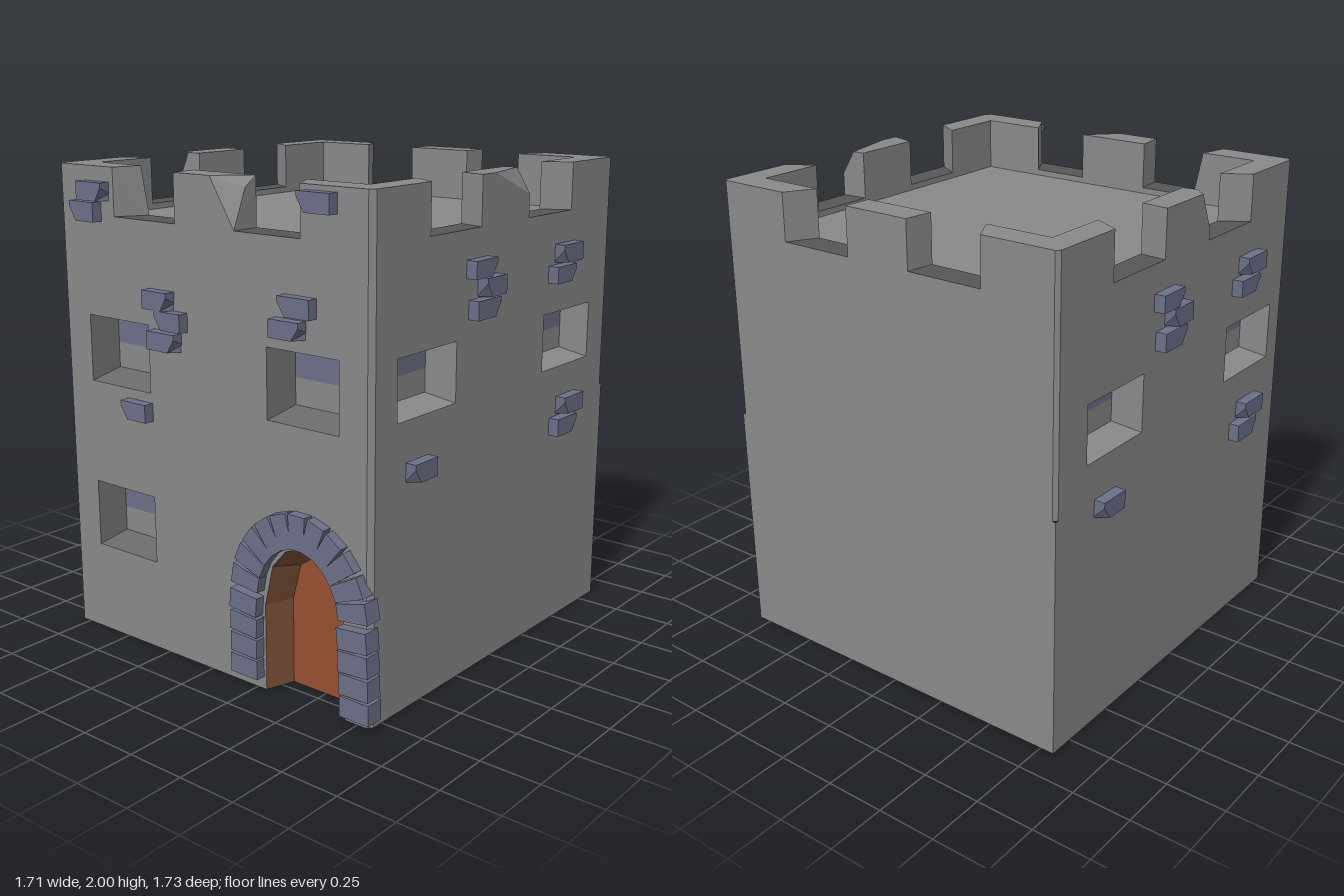
import * as THREE from 'three';
import { ConvexGeometry } from 'three/addons/geometries/ConvexGeometry.js';

const V = (x, y, z) => new THREE.Vector3(x, y, z);
const mat = (name, color) => {
  const m = new THREE.MeshStandardMaterial({ color, side: THREE.DoubleSide });
  m.name = name;
  return m;
};

// Tower limits
const X = 0.81, ZF = 0.82, ZB = -0.86, LEDGE = 1.805, ROOF = 1.78, TOP = 2;
const IX = 0.697, IZF = 0.695, IZB = -0.74;

export function createModel() {
  const stone = mat('wall grey', 0x898989);
  const ledge = mat('ledge dark grey', 0x575757);
  const reveal = mat('window reveal grey', 0x686868);
  const blue = mat('slate blue', 0x6c7088);
  const wood = mat('door orange brown', 0x964f2f);
  const jambBrown = mat('jamb brown', 0x7a5036);

  const model = new THREE.Group();
  model.name = 'tower';
  const add = (parent, name, geo, material) => {
    const mesh = new THREE.Mesh(geo, material);
    mesh.name = name;
    parent.add(mesh);
    return mesh;
  };
  const hull = (parent, name, pts, material) => add(parent, name, new ConvexGeometry(pts), material);
  const shapeOf = pts => new THREE.Shape(pts.map(p => new THREE.Vector2(p[0], p[1])));

  // Strip of quads joining two outlines of equal length
  const strip = (a, b, closed) => {
    const pos = [];
    const n = a.length;
    for (let i = 0; i < (closed ? n : n - 1); i++) {
      const j = (i + 1) % n;
      pos.push(...a[i], ...b[i], ...b[j], ...a[i], ...b[j], ...a[j]);
    }
    const g = new THREE.BufferGeometry();
    g.setAttribute('position', new THREE.Float32BufferAttribute(pos, 3));
    g.computeVertexNormals();
    return g;
  };

  const rect = ([u0, u1, y0, y1]) => [[u0, y0], [u1, y0], [u1, y1], [u0, y1]];
  const at = (pts, w) => pts.map(p => [p[0], p[1], w]);
  const D = 0.11; // depth of recesses

  // Flat wall with openings, in a local frame facing +z
  const wall = (group, outline, holes) => {
    const s = shapeOf(outline);
    holes.forEach(h => s.holes.push(new THREE.Path(shapeOf(h).getPoints())));
    add(group, 'wall', new THREE.ShapeGeometry(s), stone);
  };

  // Splayed window recess, its pane half slate and half stone
  const windowRecess = (group, o, inset, split, revealMat) => {
    const i = [o[0] + 0.047, o[1] - 0.047, o[2] + inset, o[3] - 0.033];
    add(group, 'windowReveal', strip(at(rect(o), 0), at(rect(i), -D), true), revealMat);
    const pane = (name, y0, y1, m) => {
      const g = new THREE.PlaneGeometry(i[1] - i[0], y1 - y0);
      g.translate((i[0] + i[1]) / 2, (y0 + y1) / 2, -D);
      add(group, name, g, m);
    };
    pane('lowerPane', i[2], split, stone);
    pane('upperPane', split, i[3], blue);
  };

  // Raised brick, open at the back, its face chipped at one lower end (c: -1 or 1)
  const brick = (group, [u0, u1, y0, y1, c]) => {
    const chip = 0.035;
    const face = c > 0
      ? [[u0, y0], [u1 - chip, y0], [u1, y1 - 0.02], [u1, y1], [u0, y1]]
      : [[u1, y0], [u0 + chip, y0], [u0, y1 - 0.02], [u0, y1], [u1, y1]];
    const base = face.map(p => [...p]);
    base[1][0] = base[2][0];
    base[2][1] = y0 + 0.03;
    const order = pts => (c > 0 ? pts : [...pts].reverse());
    add(group, 'raisedBrickSides', strip(order(at(face, 0.046)), order(at(base, -0.005)), true), blue);
    add(group, 'raisedBrickFace', new THREE.ShapeGeometry(shapeOf(face)), blue).position.z = 0.046;
  };

  // Front wall
  const front = new THREE.Group();
  front.name = 'frontWall';
  front.position.z = ZF;
  model.add(front);
  const arch = [[0.295, 0], [0.295, 0.36], [0.335, 0.53], [0.4, 0.605], [0.49, 0.642], [0.575, 0.61], [0.645, 0.53], [0.69, 0.36], [0.69, 0]];
  const door = [[0.335, 0], [0.335, 0.36], [0.375, 0.51], [0.43, 0.548], [0.485, 0.585], [0.545, 0.558], [0.6, 0.53], [0.645, 0.36], [0.645, 0]];
  const frontWindows = [[-0.655, -0.31, 1.11, 1.39], [0.317, 0.662, 1.11, 1.39], [-0.655, -0.31, 0.385, 0.67]];
  wall(front, [[-0.79, 0], ...arch, [0.79, 0], [0.79, ROOF], [-0.79, ROOF]], frontWindows.map(rect));
  frontWindows.forEach(w => windowRecess(front, w, 0.045, w[2] + 0.152, reveal));
  [[-0.655, -0.51, 1.865, 1.94, 1], [-0.7, -0.56, 1.78, 1.86, -1], [0.505, 0.655, 1.905, 1.98, -1],
    [-0.295, -0.16, 1.465, 1.54, 1], [-0.23, -0.09, 1.39, 1.465, -1], [-0.275, -0.125, 1.305, 1.38, 1],
    [0.41, 0.56, 1.525, 1.6, -1], [0.365, 0.51, 1.44, 1.51, 1], [-0.44, -0.3, 0.995, 1.07, -1]]
    .forEach(b => brick(front, b));

  // Door, its reveal and the ring of arch stones
  add(front, 'doorReveal', strip(at(arch, 0), at(door, -D - 0.01), false), jambBrown);
  add(front, 'door', new THREE.ShapeGeometry(shapeOf(door)), wood).position.z = -D - 0.01;
  const archStone = (x, y, angle, inner, outer) => {
    const pts = [];
    for (const s of [1, -1]) for (const z of [-0.035, 0.042]) {
      pts.push(V(-0.069, s * inner / 2, z), V(0.069, s * outer / 2, z));
    }
    const stoneMesh = hull(front, 'archStone', pts, blue);
    stoneMesh.position.set(x, y, 0);
    stoneMesh.rotation.z = angle;
  };
  for (let i = 0; i < 4; i++) {
    archStone(0.214, 0.092 + i * 0.09, -0.03 * i, 0.08, 0.08);
    archStone(0.764 - i * 0.004, 0.078 + i * 0.092, 0.03 * i, 0.084, 0.084);
  }
  for (let i = 0; i < 11; i++) {
    const t = THREE.MathUtils.degToRad(168 - i * 15.6);
    archStone(0.49 + 0.268 * Math.cos(t), 0.4 + 0.312 * Math.sin(t),
      Math.atan2(Math.sin(t) / 0.312, Math.cos(t) / 0.268), 0.064, 0.082);
  }

  // Side walls: the same details, turned half round
  const sideWindows = [[-0.67, -0.3, 1.15, 1.39], [0.335, 0.71, 1.15, 1.39]];
  const sideBricks = [[-0.245, -0.1, 1.62, 1.69, 1], [-0.165, -0.03, 1.54, 1.615, -1], [-0.225, -0.07, 1.46, 1.535, 1],
    [0.405, 0.56, 1.6, 1.675, -1], [0.36, 0.51, 1.52, 1.59, 1], [-0.615, -0.475, 0.915, 0.99, -1],
    [0.46, 0.615, 0.945, 1.02, -1], [0.41, 0.565, 0.86, 0.935, 1]];
  for (const s of [1, -1]) {
    const side = new THREE.Group();
    side.name = s > 0 ? 'leftWall' : 'rightWall';
    side.position.x = s * X;
    side.rotation.y = s * Math.PI / 2;
    model.add(side);
    const outline = [[-0.8, 0], [0.86, 0], [0.86, 1], [0.845, 1], [0.845, ROOF], [-0.8, ROOF]].map(([u, y]) => [u * s, y]);
    wall(side, outline, sideWindows.map(rect));
    sideWindows.forEach(w => windowRecess(side, w, 0.035, 1.28, stone));
    sideBricks.forEach(b => brick(side, b));

    // Narrow bevels on the corners
    add(model, 'frontBevel', strip([[s * 0.79, 0, ZF], [s * 0.79, ROOF, ZF]], [[s * X, 0, 0.8], [s * X, ROOF, 0.8]], false), stone);
    add(model, 'backBevel', strip([[s * 0.795, 1, ZB], [s * 0.795, ROOF, ZB]], [[s * X, 1, -0.845], [s * X, ROOF, -0.845]], false), stone);
  }

  // Back wall
  const back = new THREE.Group();
  back.name = 'backWall';
  back.position.z = ZB;
  back.rotation.y = Math.PI;
  model.add(back);
  wall(back, [[-X, 0], [X, 0], [X, 1], [0.795, 1], [0.795, ROOF], [-0.795, ROOF], [-0.795, 1], [-X, 1]], []);

  // Roof floor and the low ledge around it
  const roof = new THREE.PlaneGeometry(2 * IX, IZF - IZB);
  roof.rotateX(-Math.PI / 2);
  roof.translate(0, ROOF, (IZF + IZB) / 2);
  add(model, 'roofFloor', roof, stone);
  const ring = shapeOf([[-0.79, -ZF], [0.79, -ZF], [X, -0.8], [X, 0.845], [0.795, -ZB], [-0.795, -ZB], [-X, 0.845], [-X, -0.8]]);
  ring.holes.push(new THREE.Path(shapeOf(rect([-IX, IX, -IZF, -IZB])).getPoints()));
  const ringGeo = new THREE.ExtrudeGeometry(ring, { depth: LEDGE - ROOF, bevelEnabled: false });
  ringGeo.rotateX(-Math.PI / 2);
  ringGeo.translate(0, ROOF, 0);
  add(model, 'ledge', ringGeo, [ledge, stone]);

  // Battlements: prisms over [x, z] plans; a third value moves the top x, null drops the top point
  const battlement = (name, plan, extra = []) => {
    const pts = plan.flatMap(([x, z, topX = x]) => topX === null ? [V(x, LEDGE, z)] : [V(x, LEDGE, z), V(topX, TOP, z)]);
    hull(model, name, [...pts, ...extra], stone);
  };
  for (const s of [1, -1]) {
    battlement('frontCorner', [[s * 0.79, ZF], [s * X, 0.8], [s * X, IZF], [s * 0.415, IZF, s > 0 ? 0.415 : -0.455], [s * 0.485, ZF]]);
    battlement('frontCornerSide', [[s * X, 0.8], [s * X, 0.48], [s * IX, 0.41], [s * IX, 0.8]]);
    battlement('backCorner', [[s * 0.795, ZB], [s * X, -0.845], [s * X, IZB], [s * 0.415, IZB], [s * 0.48, ZB]]);
    battlement('backCornerSide', [[s * X, -0.845], [s * X, -0.525], [s * IX, -0.46], [s * IX, -0.845]]);
  }
  // Middle battlements, three of them with a broken outer corner
  battlement('backMiddle', [[-0.145, ZB], [0.15, ZB], [0.145, IZB], [-0.16, IZB]]);
  battlement('frontMiddle', [[-0.145, ZF], [0.165, ZF, null], [0.165, IZF], [-0.16, IZF]],
    [V(0.045, TOP, ZF), V(0.12, TOP, 0.74), V(0.165, 1.96, 0.755)]);
  battlement('leftMiddle', [[X, 0.15], [X, -0.19, null], [IX, -0.18], [IX, 0.12]],
    [V(X, TOP, 0.06), V(0.75, TOP, -0.185), V(X, 1.9, -0.19)]);
  battlement('rightMiddle', [[-X, -0.18], [-X, 0.145, null], [-IX, 0.12], [-IX, -0.17]],
    [V(-X, TOP, 0.08), V(-0.755, TOP, 0.13), V(-X, 1.85, 0.145)]);

  return model;
}
